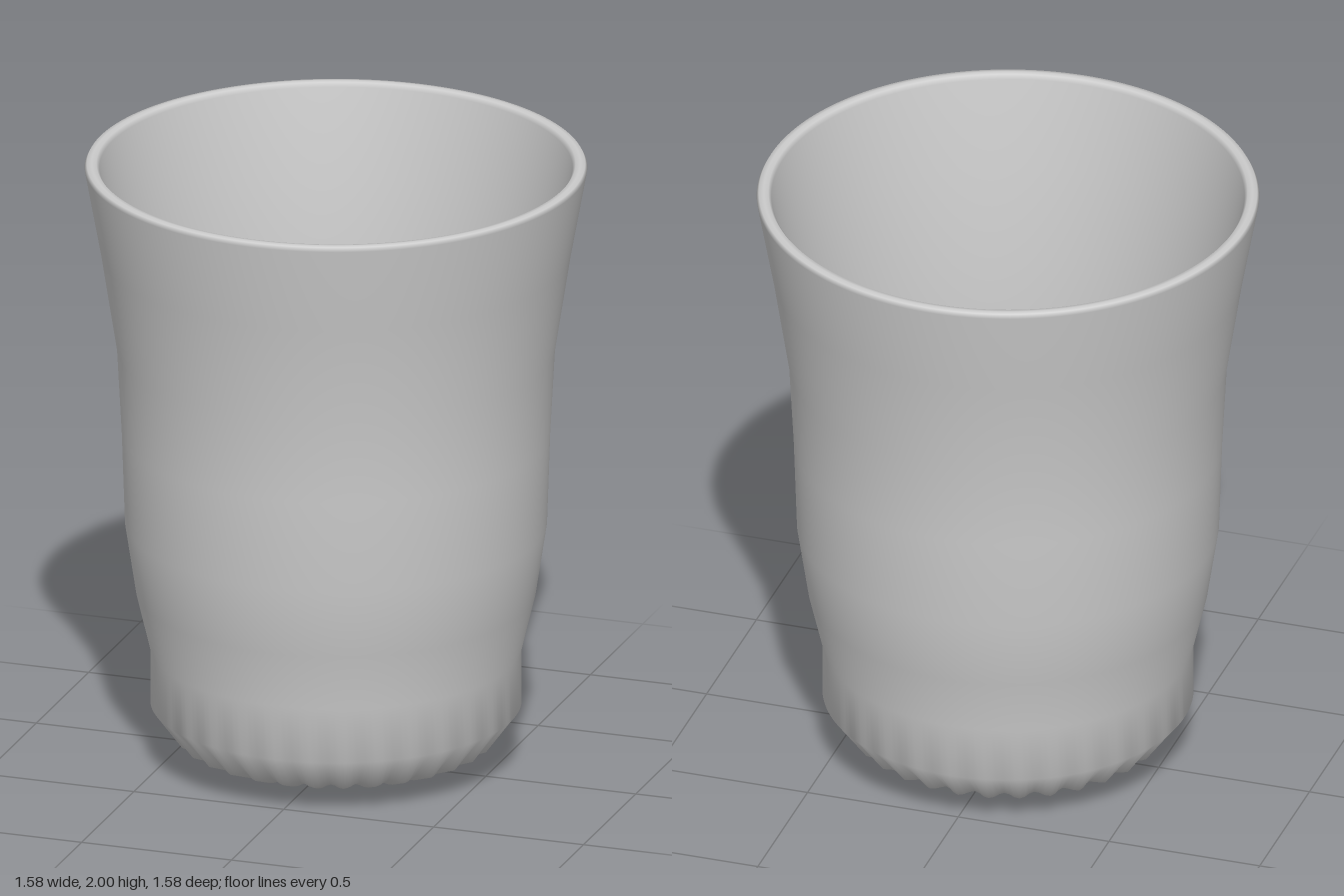
import * as THREE from 'three';
import { mergeVertices } from 'three/addons/utils/BufferGeometryUtils.js';

const FLUTES = 32;
const SEGMENTS = FLUTES * 6;

// Profile rows: radius, height, flute depth (radial)
const outside = [
  [0, 0.005, 0], [0.41, 0.05, 0.02], [0.5, 0.085, 0.022], [0.585, 0.2, 0],
  [0.585, 0.38, 0], [0.63, 0.57, 0], [0.665, 0.8, 0], [0.675, 1.1, 0],
  [0.69, 1.38, 0], [0.74, 1.7, 0], [0.792, 1.985, 0],
];
const rim = [[0.785, 1.998, 0], [0.77, 2, 0], [0.755, 1.998, 0]];
const inside = [
  [0.745, 1.985, 0], [0.693, 1.7, 0], [0.645, 1.38, 0], [0.632, 1.1, 0],
  [0.62, 0.8, 0], [0.585, 0.57, 0], [0.535, 0.38, 0], [0.535, 0.21, 0],
  [0.465, 0.125, 0.022], [0.39, 0.095, 0.02], [0, 0.05, 0],
];

// Turned shell whose base rings are scalloped into flutes
function cupGeometry() {
  const profile = [...outside, ...rim, ...inside];
  const points = profile.map(([r, y]) => new THREE.Vector2(r, y));
  let geometry = new THREE.LatheGeometry(points, SEGMENTS);
  const pos = geometry.attributes.position;
  for (let i = 0; i < pos.count; i++) {
    const [r, , depth] = profile[i % profile.length];
    if (!depth) continue;
    const x = pos.getX(i), z = pos.getZ(i);
    const wave = 0.5 - 0.5 * Math.cos(FLUTES * Math.atan2(z, x));
    const scale = 1 - (depth * wave) / r;
    pos.setX(i, x * scale);
    pos.setZ(i, z * scale);
    pos.setY(i, pos.getY(i) + depth * 0.4 * wave);
  }
  // Weld the seam so the shading is continuous
  geometry.deleteAttribute('normal');
  geometry.deleteAttribute('uv');
  geometry = mergeVertices(geometry, 1e-4);
  geometry.computeVertexNormals();
  return geometry;
}

export function createModel() {
  const group = new THREE.Group();
  group.name = 'cup';
  const material = new THREE.MeshStandardMaterial({ color: 0xcccccc });
  const body = new THREE.Mesh(cupGeometry(), material);
  body.name = 'flutedCupBody';
  group.add(body);
  return group;
}
